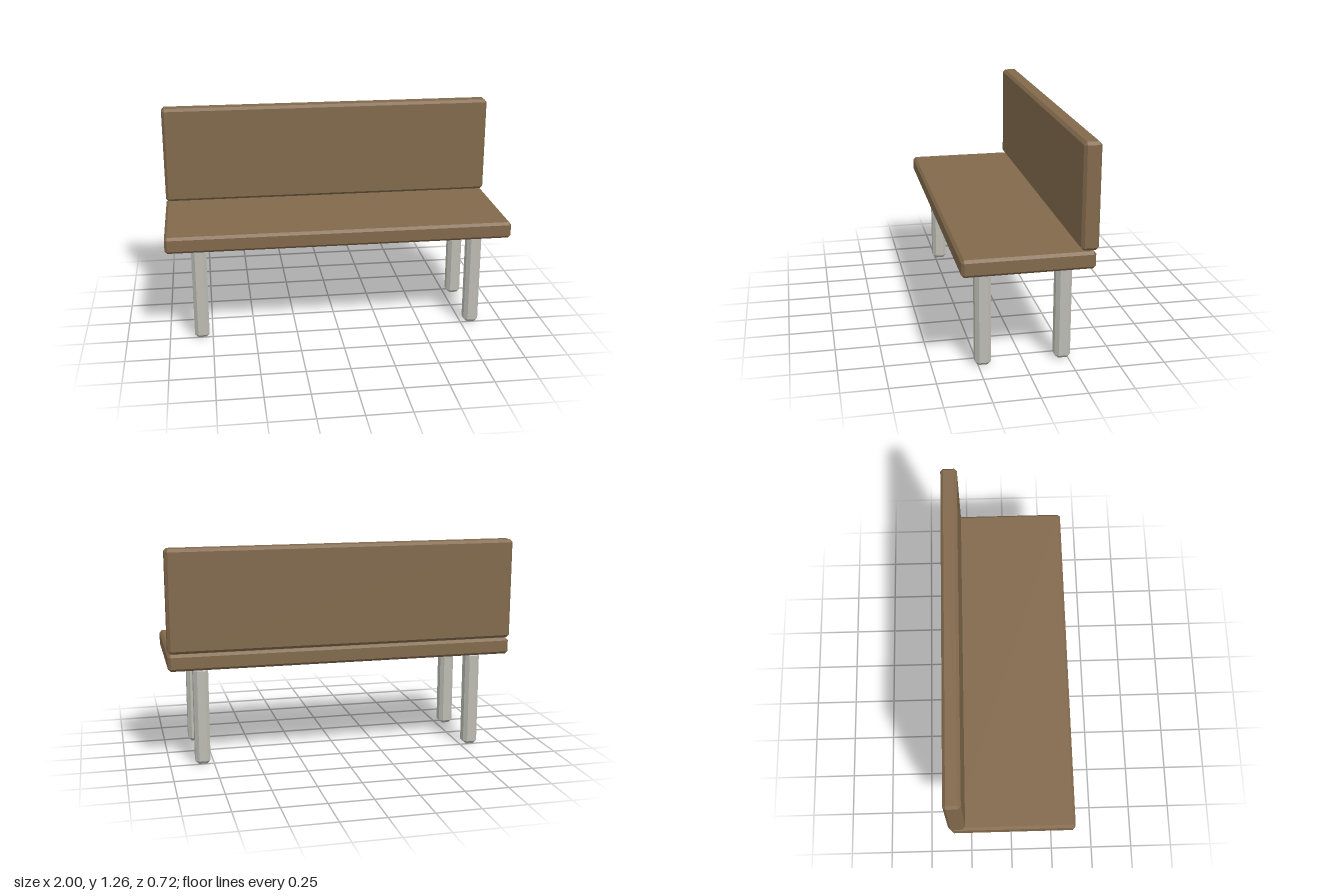
import * as THREE from 'three';
import { ConvexGeometry } from 'three/addons/geometries/ConvexGeometry.js';

// Box with flat chamfers on every edge and corner
function chamferBox(w, h, d, c) {
  const points = [];
  for (const sx of [-1, 1]) for (const sy of [-1, 1]) for (const sz of [-1, 1]) {
    const x = w / 2, y = h / 2, z = d / 2;
    points.push(
      new THREE.Vector3(sx * x, sy * (y - c), sz * (z - c)),
      new THREE.Vector3(sx * (x - c), sy * y, sz * (z - c)),
      new THREE.Vector3(sx * (x - c), sy * (y - c), sz * z)
    );
  }
  return new ConvexGeometry(points);
}

export function createModel() {
  const bench = new THREE.Group();
  bench.name = 'bench';

  const wood = new THREE.MeshStandardMaterial({ color: 0x82694c });
  wood.name = 'brown wood';
  const metal = new THREE.MeshStandardMaterial({ color: 0xbcbcb4 });
  metal.name = 'pale grey metal';

  function add(name, geometry, material, x, y, z) {
    const mesh = new THREE.Mesh(geometry, material);
    mesh.name = name;
    mesh.position.set(x, y, z);
    bench.add(mesh);
  }

  // Seat board and upright back board
  add('seat', chamferBox(2, 0.096, 0.71, 0.015), wood, 0, 0.627, 0.007);
  add('backrest', chamferBox(2, 0.58, 0.096, 0.016), wood, 0, 0.97, -0.313);

  // Four square legs
  const leg = chamferBox(0.086, 0.573, 0.088, 0.02);
  for (const [side, x] of [['Left', 0.813], ['Right', -0.813]]) {
    add('front' + side + 'Leg', leg, metal, x, 0.2885, 0.222);
    add('back' + side + 'Leg', leg, metal, x, 0.2885, -0.22);
  }
  return bench;
}
